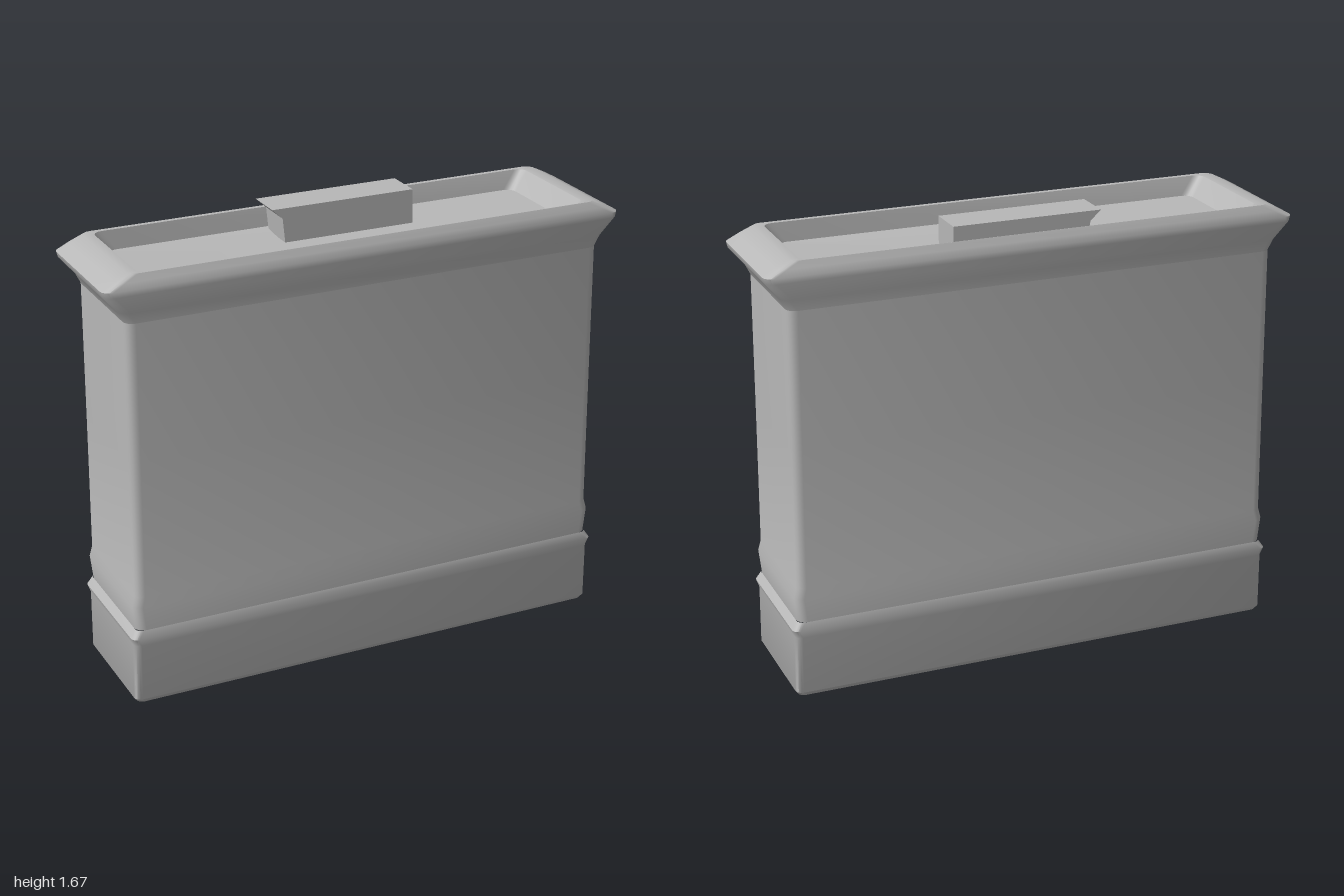
import * as THREE from 'three';
import { toCreasedNormals } from 'three/addons/utils/BufferGeometryUtils.js';

// Rounded rectangle outline in the x-z plane, as [x, z] pairs
function outline(hx, hz, radius) {
  const r = Math.min(radius, hx, hz);
  const points = [];
  [[1, 1], [-1, 1], [-1, -1], [1, -1]].forEach(([sx, sz], corner) => {
    for (let k = 0; k <= 4; k++) {
      const a = (corner + k / 4) * Math.PI / 2;
      points.push([sx * (hx - r) + r * Math.cos(a), sz * (hz - r) + r * Math.sin(a)]);
    }
  });
  return points;
}

// Skin stacked sections [y, half width, half depth]
function skin(sections, radius) {
  const rings = sections.map(([y, hx, hz]) => outline(hx, hz, radius).map(([x, z]) => [x, y, z]));
  const positions = [];
  for (let i = 0; i < rings.length - 1; i++) {
    const n = rings[i].length;
    for (let j = 0; j < n; j++) {
      const a = rings[i][j], b = rings[i][(j + 1) % n];
      const d = rings[i + 1][j], c = rings[i + 1][(j + 1) % n];
      positions.push(...a, ...d, ...c, ...a, ...c, ...b);
    }
  }
  const geometry = new THREE.BufferGeometry();
  geometry.setAttribute('position', new THREE.Float32BufferAttribute(positions, 3));
  return toCreasedNormals(geometry, 0.7);
}

export function createModel() {
  const group = new THREE.Group();
  const grey = new THREE.MeshStandardMaterial({ color: 0xb8b8b8 });
  grey.name = 'plain grey';
  const add = (name, geometry) => {
    const mesh = new THREE.Mesh(geometry, grey);
    mesh.name = name;
    group.add(mesh);
  };

  // Base with a slightly flared upper edge
  add('base', skin([
    [0.005, 0, 0], [0.005, 0.925, 0.23], [0.02, 0.935, 0.238],
    [0.24, 0.932, 0.243], [0.27, 0.942, 0.25], [0.3, 0.922, 0.243],
  ], 0.025));

  // Tall body with a small ridge near the base
  add('body', skin([
    [0.3, 0.922, 0.243], [0.39, 0.932, 0.244], [0.43, 0.922, 0.24],
    [0.95, 0.918, 0.24], [1.46, 0.915, 0.24],
  ], 0.035));

  // Flared rim, rolled over into the shallow recessed top
  add('rim', skin([
    [1.46, 0.915, 0.24], [1.5, 0.935, 0.243], [1.565, 0.99, 0.253],
    [1.585, 0.995, 0.253], [1.61, 0.95, 0.247], [1.635, 0.9, 0.238], [1.632, 0.86, 0.228],
  ], 0.035));
  add('recess', skin([
    [1.632, 0.86, 0.228], [1.56, 0.81, 0.22], [1.55, 0.5, 0.12], [1.55, 0, 0],
  ], 0.035));

  // Raised bar towards the back of the recess
  const bar = new THREE.Shape();
  bar.moveTo(-0.2, 1.54);
  bar.lineTo(0.305, 1.54);
  bar.lineTo(0.305, 1.677);
  bar.lineTo(-0.25, 1.677);
  bar.lineTo(-0.21, 1.64);
  bar.closePath();
  const barGeometry = new THREE.ExtrudeGeometry(bar, { depth: 0.145, bevelEnabled: false });
  barGeometry.translate(0, 0, -0.2);
  add('topBar', barGeometry);

  return group;
}
